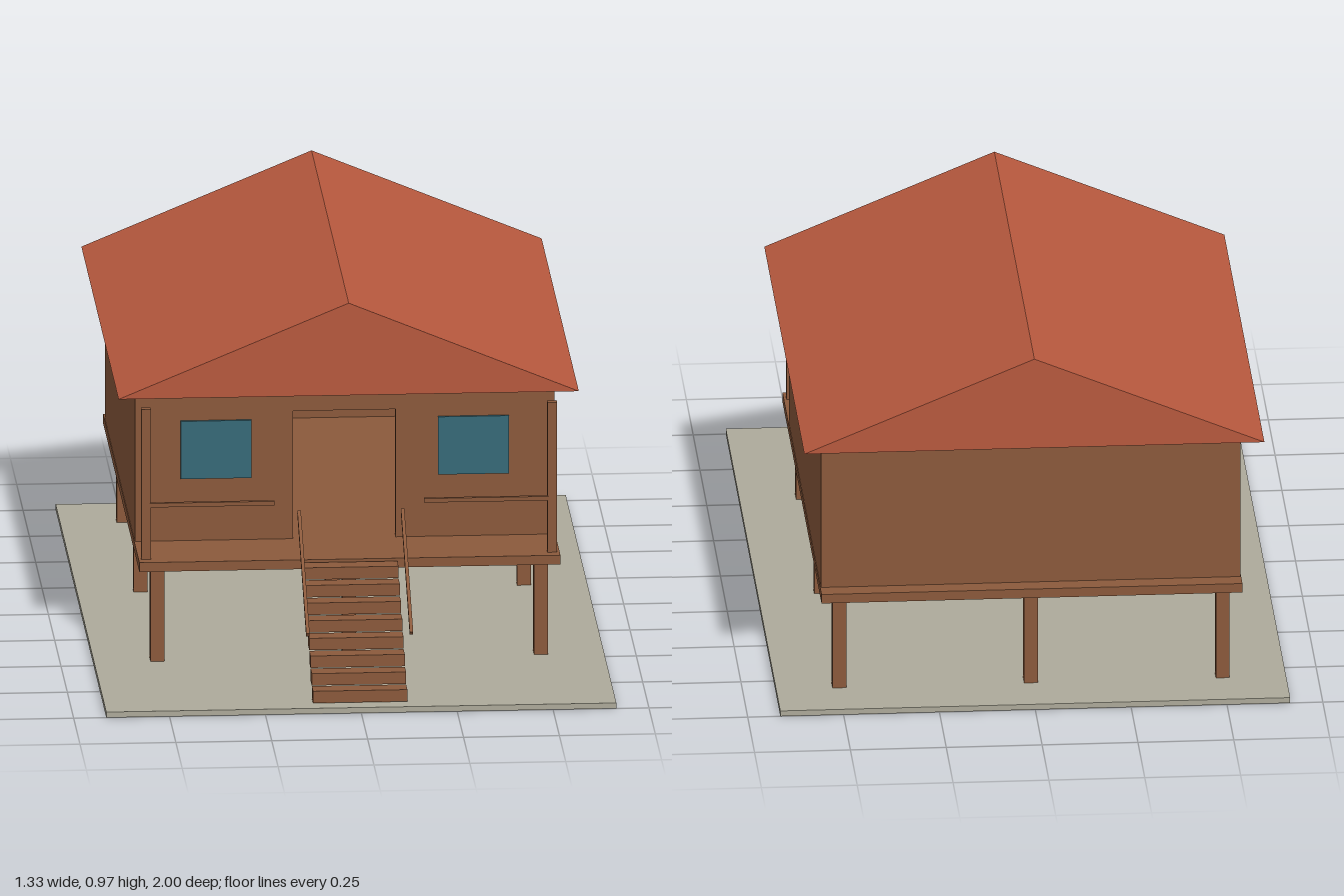
import * as THREE from 'three';

const mat = (name, color) => {
  const m = new THREE.MeshStandardMaterial({ color });
  m.name = name;
  return m;
};

export function createModel() {
  const wood = mat('brown wood', 0x8b5a3c);
  const roofRed = mat('roof red', 0xb8593e);
  const glass = mat('window blue', 0x376a78);
  const stone = mat('ground grey', 0xaeab9b);

  const house = new THREE.Group();
  house.name = 'stiltHouse';

  const add = (name, geometry, material, x = 0, y = 0, z = 0) => {
    const mesh = new THREE.Mesh(geometry, material);
    mesh.name = name;
    mesh.position.set(x, y, z);
    house.add(mesh);
    return mesh;
  };
  // Box given by its minimum and maximum on each axis
  const box = (name, material, x0, x1, y0, y1, z0, z1) =>
    add(name, new THREE.BoxGeometry(x1 - x0, y1 - y0, z1 - z0), material,
      (x0 + x1) / 2, (y0 + y1) / 2, (z0 + z1) / 2);
  const extrude = (points, depth) => new THREE.ExtrudeGeometry(
    new THREE.Shape(points.map(([x, y]) => new THREE.Vector2(x, y))),
    { depth, bevelEnabled: false });

  // Ground slab and raised deck
  box('ground', stone, -0.665, 0.665, 0, 0.015, -1, 1);
  box('deck', wood, -0.549, 0.549, 0.265, 0.29, -0.88, 0.55);

  // Stilts in a three by three grid
  for (const x of [-0.5, 0, 0.5]) {
    for (const z of [0.505, -0.162, -0.83]) {
      box('stilt', wood, x - 0.018, x + 0.018, 0.015, 0.265, z - 0.018, z + 0.018);
    }
  }

  // Hollow house: front wall with an open doorway, back wall and side walls
  const w = 0.547, t = 0.02, base = 0.29, top = 0.71;
  add('frontWall', extrude([
    [-w, base], [-0.135, base], [-0.135, 0.635], [0.133, 0.635],
    [0.133, base], [w, base], [w, top], [-w, top],
  ], t), wood, 0, 0, 0.345 - t);
  box('backWall', wood, -w, w, base, top, -0.83, -0.83 + t);
  for (const s of [-1, 1]) {
    const x = s * (w - t / 2);
    box('sideWall', wood, x - t / 2, x + t / 2, base, top, -0.83 + t, 0.345 - t);
  }

  // Gabled roof
  add('roof', extrude([[-0.6, 0.719], [0.6, 0.719], [0, 0.968]], 1.47),
    roofRed, 0, 0, -0.968);

  // Mirrored porch parts: windows, posts, railings and stair handrails
  const railLow = new THREE.Vector2(0.935, 0.195);
  const railHigh = new THREE.Vector2(0.585, 0.43);
  const run = railHigh.clone().sub(railLow);
  for (const s of [-1, 1]) {
    const mirrored = (name, material, a, b, ...rest) =>
      box(name, material, Math.min(s * a, s * b), Math.max(s * a, s * b), ...rest);
    mirrored('window', glass, 0.243, 0.428, 0.458, 0.614, 0.345, 0.352);
    mirrored('porchPost', wood, 0.517, 0.542, 0.29, 0.695, 0.5, 0.52);
    mirrored('porchRail', wood, 0.195, 0.519, 0.431, 0.442, 0.512, 0.523);

    const handrail = add('handrail', new THREE.BoxGeometry(0.009, 0.011, run.length()),
      wood, s * 0.135, (railLow.y + railHigh.y) / 2, (railLow.x + railHigh.x) / 2);
    handrail.rotation.x = Math.atan2(run.y, -run.x);
  }

  // Stairs, from the ground up
  for (let i = 0; i < 8; i++) {
    const y = 0.017 + i * 0.0336;
    const z = 0.957 - i * 0.05;
    box('step', wood, -0.123, 0.123, y, y + 0.032, z - 0.05, z);
  }

  return house;
}
